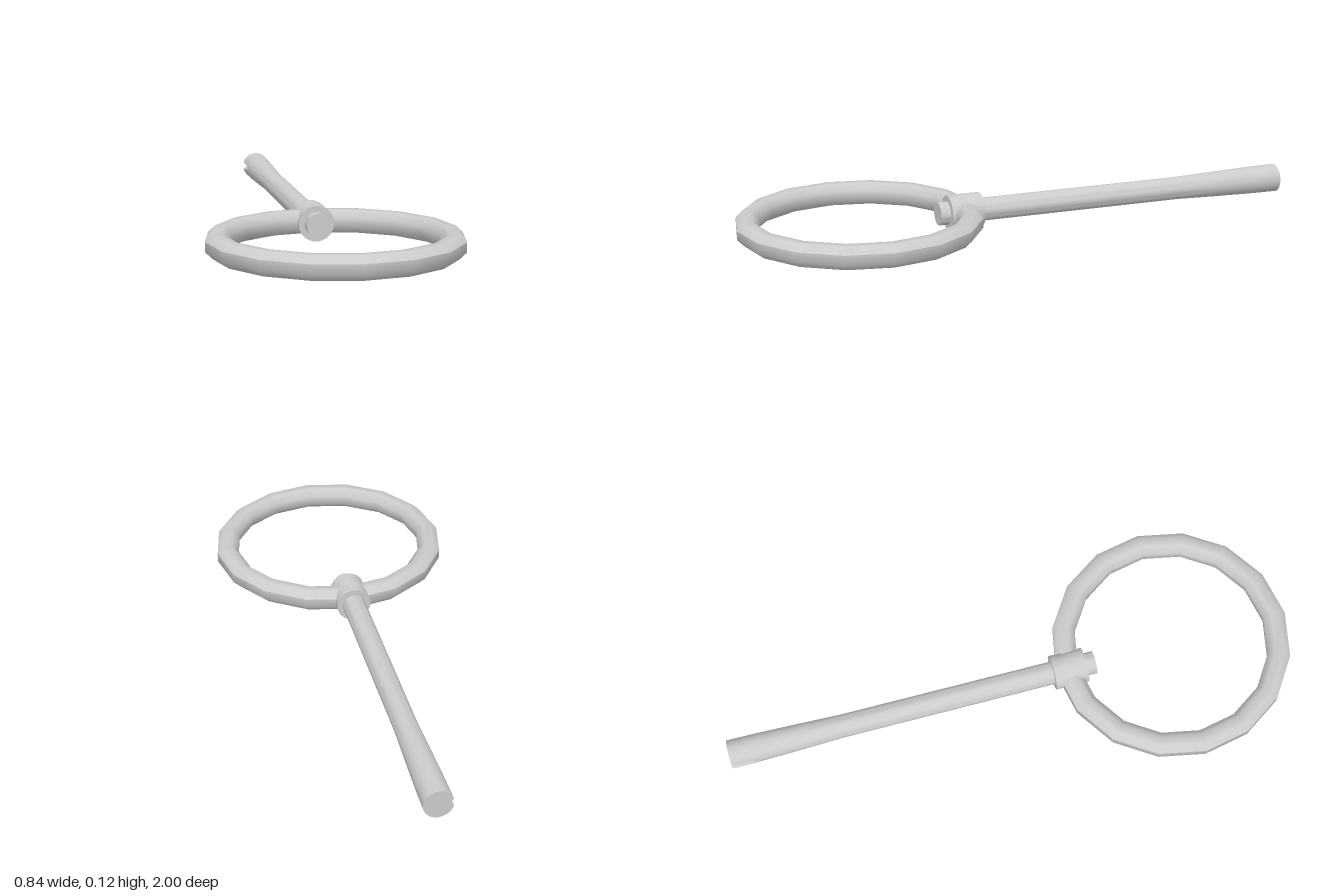
import * as THREE from 'three';
import { toCreasedNormals } from 'three/addons/utils/BufferGeometryUtils.js';

const AXIS_Y = 0.065; // height of the shared centre line
const RING_Z = 0.581;

export function createModel() {
  const model = new THREE.Group();
  const material = new THREE.MeshStandardMaterial({ color: 0xcccccc });

  const add = (name, geometry, z) => {
    const mesh = new THREE.Mesh(geometry, material);
    mesh.name = name;
    mesh.position.set(0, AXIS_Y, z);
    model.add(mesh);
  };

  // Solid of revolution along z, from [radius, z] pairs
  const turned = (profile, sides) =>
    new THREE.LatheGeometry(profile.map(([r, z]) => new THREE.Vector2(r, z)), sides).rotateX(Math.PI / 2);

  // Ring: octagonal section swept in sixteen steps, flats facing out, in, up and down
  const section = [];
  for (let i = 0; i <= 8; i++) {
    const a = ((i + 0.5) * Math.PI) / 4;
    section.push(new THREE.Vector2(0.379 + 0.042 * Math.cos(a), 0.042 * Math.sin(a)));
  }
  add('ring', new THREE.LatheGeometry(section, 16), RING_Z);

  // Collar clamping the ring to the handle
  const collar = turned([[0, 0.15], [0.061, 0.15], [0.061, 0.267], [0, 0.267]], 16);
  collar.rotateZ(Math.PI / 16);
  add('collar', toCreasedNormals(collar, 0.7), 0);

  // Handle: straight rod that flares towards its free end
  const handle = turned([
    [0, -1], [0.05, -1], [0.049, -0.9], [0.045, -0.75], [0.04, -0.6], [0.04, 0.302], [0, 0.302],
  ], 24);

  // Small notch on the right side of the flared end
  const p = handle.attributes.position;
  for (let i = 0; i < p.count; i++) {
    if (p.getX(i) < -0.03 && Math.abs(p.getY(i)) < 0.001 && p.getZ(i) < -0.95) p.setX(i, -0.032);
  }
  add('handle', toCreasedNormals(handle, 0.7), 0);

  return model;
}
